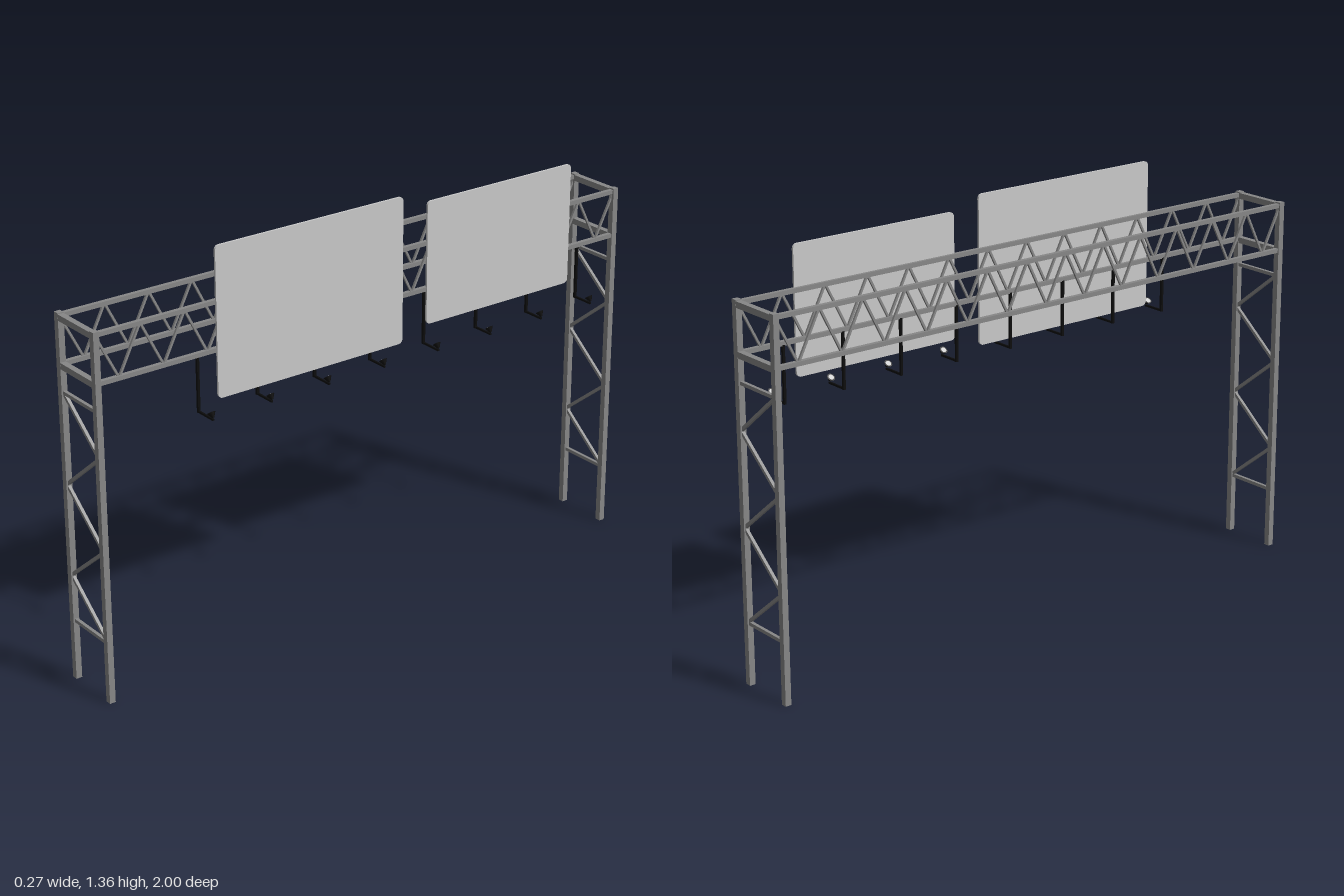
import * as THREE from 'three';

const steel = new THREE.MeshStandardMaterial({ color: 0x888888 });
steel.name = 'galvanised steel';
const panel = new THREE.MeshStandardMaterial({ color: 0xcacaca });
panel.name = 'light grey panel';
const black = new THREE.MeshStandardMaterial({ color: 0x0c0c0c });
black.name = 'black lamp metal';

const XB = -0.127, XF = 0.06;   // rear and sign-side truss planes
const ZE = 0.989;               // tower position

// Square bar between two points
function bar(name, a, b, t, mat = steel) {
  const p = new THREE.Vector3(...a), q = new THREE.Vector3(...b);
  const mesh = new THREE.Mesh(new THREE.BoxGeometry(t, t, p.distanceTo(q)), mat);
  mesh.name = name;
  mesh.position.addVectors(p, q).multiplyScalar(0.5);
  if (Math.abs(p.x - q.x) + Math.abs(p.z - q.z) < 1e-6) mesh.rotation.x = Math.PI / 2;
  else mesh.lookAt(q);
  return mesh;
}

// Tower: two posts, cross bars and zigzag bracing
function tower(side) {
  const g = new THREE.Group();
  g.name = 'tower';
  const z = side * ZE;
  for (const x of [XB, XF]) g.add(bar('post', [x, 0, z], [x, 1.195, z], 0.02));
  for (const [y, t] of [[1.182, 0.022], [1.032, 0.022], [0.947, 0.011], [0.2, 0.011]])
    g.add(bar('crossBar', [XB, y, z], [XF, y, z], Math.min(t, 0.0195)));
  for (let i = 0; i < 5; i++) {
    const y = 0.95 - i * 0.15, ends = i % 2 ? [XF, XB] : [XB, XF];
    g.add(bar('towerBrace', [ends[0], y, z], [ends[1], y - 0.15, z], 0.01));
  }
  return g;
}

// Side truss: two chords and a row of V braces
function truss(x) {
  const g = new THREE.Group();
  g.name = 'sideTruss';
  const top = 1.184, low = 1.034, n = 26, step = 2 * ZE / n;
  for (const y of [top, low]) g.add(bar('chord', [x, y, -ZE], [x, y, ZE], 0.014));
  for (let i = 0; i < n; i++) {
    const z = ZE - i * step;
    g.add(bar('trussBrace', [x, i % 2 ? low : top, z], [x, i % 2 ? top : low, z - step], 0.007));
  }
  return g;
}

// Sign panel with rounded corners
function sign(z0, z1, y0, y1) {
  const w = (z1 - z0) / 2, h = (y1 - y0) / 2, r = 0.015;
  const s = new THREE.Shape();
  s.moveTo(-w + r, -h);
  s.absarc(w - r, -h + r, r, -Math.PI / 2, 0);
  s.absarc(w - r, h - r, r, 0, Math.PI / 2);
  s.absarc(-w + r, h - r, r, Math.PI / 2, Math.PI);
  s.absarc(-w + r, -h + r, r, Math.PI, Math.PI * 1.5);
  const geo = new THREE.ExtrudeGeometry(s, { depth: 0.007, bevelEnabled: false, curveSegments: 5 });
  geo.rotateY(Math.PI / 2);
  const mesh = new THREE.Mesh(geo, panel);
  mesh.name = 'signPanel';
  mesh.position.set(0.062, (y0 + y1) / 2, (z0 + z1) / 2);
  return mesh;
}

// Hanging floodlight: drop rod, arm and a cone aimed up at the panel
function lamp(z) {
  const g = new THREE.Group();
  g.name = 'floodlight';
  g.add(bar('dropRod', [0.055, 1.03, z], [0.055, 0.849, z], 0.008, black));
  g.add(bar('lampArm', [0.052, 0.852, z], [0.13, 0.852, z], 0.006, black));
  const head = new THREE.Group();
  head.name = 'lampHead';
  head.position.set(0.125, 0.865, z);
  head.rotation.z = 0.7;
  const cone = new THREE.Mesh(new THREE.CylinderGeometry(0.013, 0.003, 0.016, 12), black);
  cone.name = 'lampCone';
  const lens = new THREE.Mesh(new THREE.CylinderGeometry(0.009, 0.009, 0.001, 12), panel);
  lens.name = 'lampLens';
  lens.position.y = 0.0083;
  head.add(cone, lens);
  g.add(head);
  return g;
}

export function createModel() {
  const model = new THREE.Group();
  model.name = 'signGantry';
  for (const side of [1, -1]) model.add(tower(side));
  model.add(truss(XB), truss(0.059));
  model.add(sign(-0.11, 0.58, 0.88, 1.358), sign(-0.79, -0.205, 0.918, 1.32));
  for (let i = 0; i < 8; i++) model.add(lamp(0.642 - i * 0.2117));
  return model;
}
